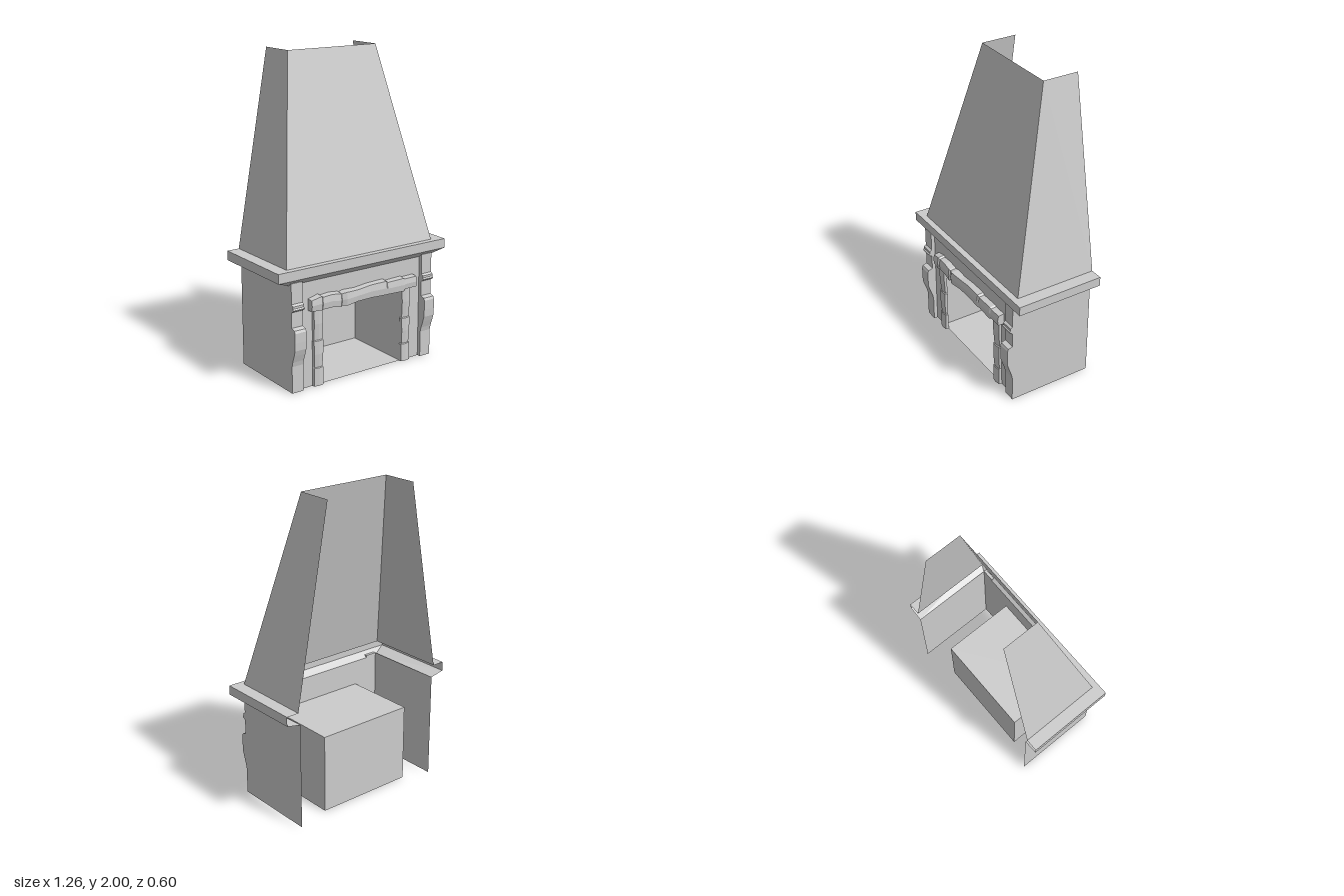
import * as THREE from 'three';

const mat = new THREE.MeshStandardMaterial({ color: 0xcccccc, flatShading: true, side: THREE.DoubleSide });

function add(group, name, geometry) {
  const mesh = new THREE.Mesh(geometry, mat);
  mesh.name = name;
  group.add(mesh);
  return mesh;
}

// Skin a list of equally long cross-sections (arrays of [x, y, z])
function skin(sections, closed = false, caps = false) {
  const n = sections[0].length, index = [];
  for (let i = 0; i < sections.length - 1; i++) {
    for (let j = 0; j < (closed ? n : n - 1); j++) {
      const a = i * n + j, b = i * n + (j + 1) % n;
      index.push(a, a + n, b, b, a + n, b + n);
    }
  }
  if (caps) {
    const last = (sections.length - 1) * n;
    for (let j = 1; j < n - 1; j++) index.push(0, j, j + 1, last, last + j + 1, last + j);
  }
  const g = new THREE.BufferGeometry();
  g.setAttribute('position', new THREE.Float32BufferAttribute(sections.flat(2), 3));
  g.setIndex(index);
  const flat = g.toNonIndexed();
  flat.computeVertexNormals();
  return flat;
}

// Three-sided run around the chimney: right side, front, left side, open at the back
const BACK = -0.30;
const run = (x, y, z, backY = y) => [[x, backY, BACK], [x, y, z], [-x, y, z], [-x, backY, BACK]];

// Block along an axis with slightly uneven, rough-hewn sections
function stone(stations, place) {
  return skin(stations.map(([t, lo, hi, front]) => [
    place(t, lo, 0.24), place(t, hi, 0.24),
    place(t, hi - 0.004, front - 0.006), place(t, (lo + hi) / 2, front),
    place(t, lo + 0.004, front - 0.004),
  ]), true, true);
}

export function createModel() {
  const model = new THREE.Group();
  model.name = 'fireplace';

  // Tapered hood, open at the top and back
  add(model, 'hood', skin([run(0.325, 2, -0.065), run(0.55, 0.77, 0.24)]));

  // Hollow mantel shelf with sloped underside
  add(model, 'mantelShelf', skin([
    run(0.55, 0.77, 0.24), run(0.632, 0.77, 0.28),
    run(0.632, 0.71, 0.28), run(0.535, 0.672, 0.24, 0.69),
  ]));

  // Front panel with the hearth opening
  const panel = new THREE.Shape([
    [-0.535, 0], [-0.358, 0], [-0.358, 0.51], [0.305, 0.51], [0.305, 0],
    [0.535, 0], [0.535, 0.675], [-0.535, 0.675],
  ].map(([x, y]) => new THREE.Vector2(x, y)));
  add(model, 'frontPanel', new THREE.ShapeGeometry(panel)).position.z = 0.24;

  // Firebox, open towards the room
  const ring = (z) => [[-0.358, 0, z], [0.305, 0, z], [0.305, 0.51, z], [-0.358, 0.51, z]];
  add(model, 'fireboxWalls', skin([ring(0.24), ring(-0.24)], true));
  add(model, 'fireboxBack', new THREE.PlaneGeometry(0.663, 0.51)).position.set(-0.0265, 0.255, -0.24);

  // Pilaster outline: bulging console below, small moulding above
  const profile = [
    [0.24, 0], [0.265, 0], [0.265, 0.17], [0.272, 0.2], [0.288, 0.245], [0.299, 0.28],
    [0.301, 0.33], [0.301, 0.39], [0.294, 0.406], [0.265, 0.415], [0.265, 0.512],
    [0.284, 0.522], [0.287, 0.53], [0.28, 0.538], [0.28, 0.552], [0.265, 0.562],
    [0.265, 0.69], [0.24, 0.69],
  ];
  const pilasterShape = new THREE.Shape(profile.map(([z, y]) => new THREE.Vector2(z, y)));

  for (const [side, s] of [['left', 1], ['right', -1]]) {
    // Side wall
    const wall = add(model, side + 'Wall', new THREE.PlaneGeometry(0.565, 0.69));
    wall.rotation.y = s * Math.PI / 2;
    wall.position.set(s * 0.535, 0.345, -0.0175);

    // Pilaster
    const pilaster = add(model, side + 'Pilaster',
      new THREE.ExtrudeGeometry(pilasterShape, { depth: 0.08, bevelEnabled: false }));
    pilaster.rotation.y = -Math.PI / 2;
    pilaster.scale.z = -1;
    pilaster.position.x = s > 0 ? 0.455 : -0.535;
    pilaster.geometry.scale(1, 1, 1);

    // Stone jamb: [height, inner edge, outer edge, front]
    const jamb = [
      [0, 0.3, 0.374, 0.264], [0.115, 0.3, 0.372, 0.262], [0.12, 0.304, 0.37, 0.258],
      [0.205, 0.302, 0.372, 0.264], [0.29, 0.299, 0.374, 0.262], [0.295, 0.304, 0.37, 0.257],
      [0.4, 0.302, 0.373, 0.264], [0.49, 0.3, 0.372, 0.262],
    ];
    add(model, side + 'Jamb', stone(jamb, (t, x, z) => [s * x, t, z]));
  }

  // Stone lintel: [x, bottom, top, front]
  const lintel = [
    [-0.4, 0.49, 0.565, 0.284], [-0.33, 0.488, 0.582, 0.292], [-0.32, 0.487, 0.572, 0.284],
    [-0.25, 0.489, 0.577, 0.288], [-0.19, 0.478, 0.57, 0.292], [-0.18, 0.482, 0.565, 0.284],
    [-0.15, 0.48, 0.572, 0.297], [-0.06, 0.487, 0.568, 0.288], [0.04, 0.488, 0.578, 0.286],
    [0.16, 0.484, 0.58, 0.289], [0.17, 0.482, 0.567, 0.283], [0.3, 0.478, 0.571, 0.287],
    [0.31, 0.49, 0.564, 0.283], [0.4, 0.49, 0.566, 0.286],
  ];
  add(model, 'lintel', stone(lintel, (t, y, z) => [t, y, z]));

  return model;
}
